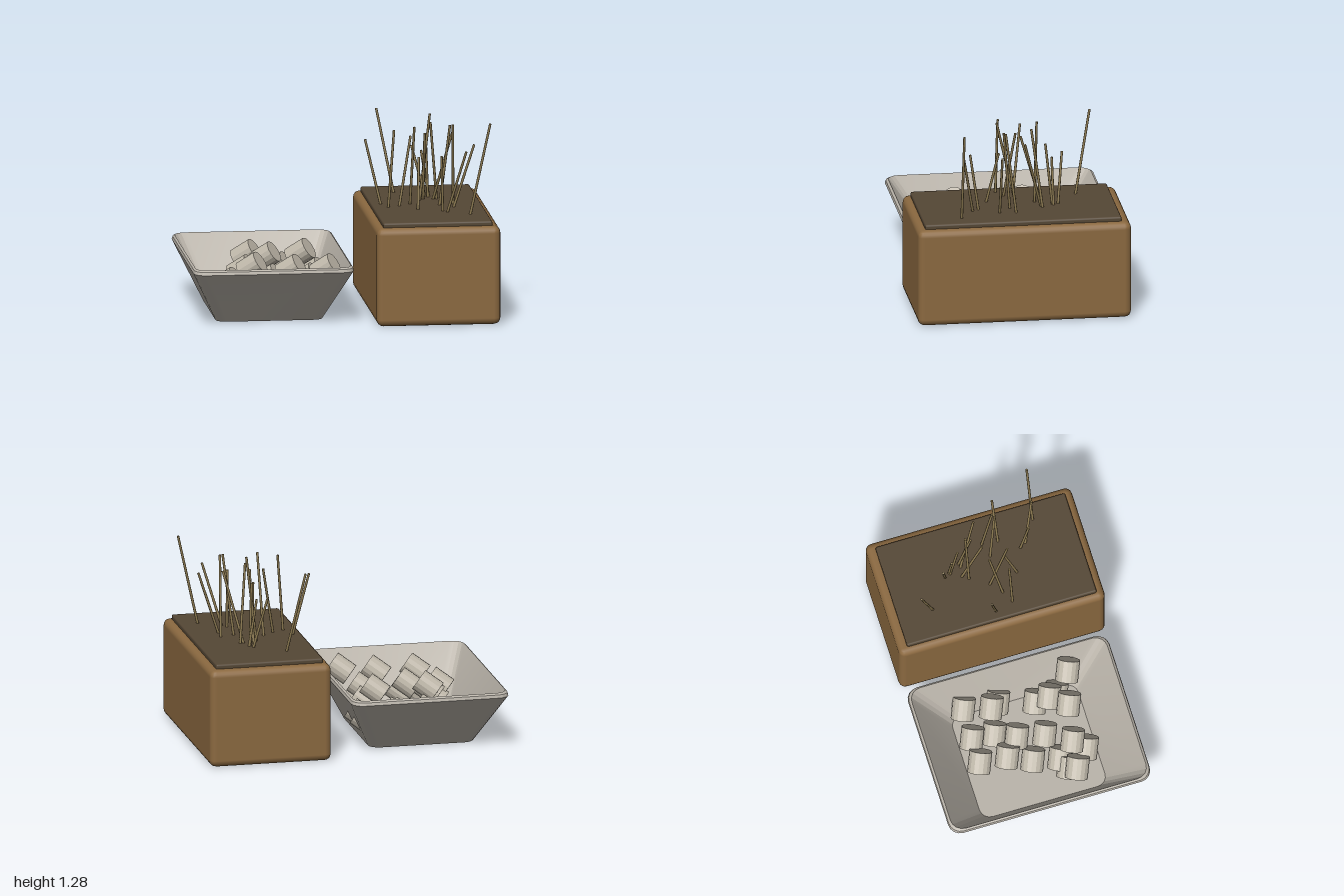
import * as THREE from 'three';
import { RoundedBoxGeometry } from 'three/addons/geometries/RoundedBoxGeometry.js';
import { toCreasedNormals } from 'three/addons/utils/BufferGeometryUtils.js';

const mat = (name, color) => {
  const m = new THREE.MeshStandardMaterial({ color });
  m.name = name;
  return m;
};

// Points round a rectangle with rounded corners, at height y
function ring([hx, hz, r, y], n = 4) {
  const pts = [];
  [[1, 1], [-1, 1], [-1, -1], [1, -1]].forEach(([sx, sz], k) => {
    for (let i = 0; i <= n; i++) {
      const t = (k + i / n) * Math.PI / 2;
      pts.push([sx * (hx - r) + r * Math.cos(t), y, sz * (hz - r) + r * Math.sin(t)]);
    }
  });
  return pts;
}

// Skin a sequence of rounded rectangles
function loft(sections) {
  const rings = sections.map((s) => ring(s));
  const pos = [];
  for (let j = 0; j < rings.length - 1; j++) {
    const lo = rings[j], hi = rings[j + 1];
    for (let i = 0; i < lo.length; i++) {
      const k = (i + 1) % lo.length;
      if (sections[j][0] > 0) pos.push(...lo[i], ...hi[i], ...lo[k]);
      if (sections[j + 1][0] > 0) pos.push(...lo[k], ...hi[i], ...hi[k]);
    }
  }
  const g = new THREE.BufferGeometry();
  g.setAttribute('position', new THREE.Float32BufferAttribute(pos, 3));
  return toCreasedNormals(g, 0.3);
}

export function createModel() {
  const model = new THREE.Group();
  const wood = mat('brown wood', 0x8b6940);
  const soil = mat('dark soil', 0x554735);
  const stalk = mat('dry stalk', 0x8a7850);
  const dishGrey = mat('dish grey', 0xbab4aa);
  const pieceGrey = mat('piece grey', 0xbfb8aa);

  const add = (parent, name, geometry, material, x = 0, y = 0, z = 0) => {
    const mesh = new THREE.Mesh(geometry, material);
    mesh.name = name;
    mesh.position.set(x, y, z);
    parent.add(mesh);
    return mesh;
  };

  // Planter box with a slab of soil
  const planter = new THREE.Group();
  planter.name = 'planter';
  model.add(planter);
  add(planter, 'planterBox', new RoundedBoxGeometry(0.81, 0.65, 1.4, 2, 0.045), wood, 0.595, 0.325, 0.005);
  add(planter, 'soil', new RoundedBoxGeometry(0.715, 0.04, 1.29, 2, 0.013), soil, 0.5925, 0.66, 0.01);

  // Stalks: base x, base z, tip x, tip y, tip z
  const stalks = [
    [0.30, -0.01, 0.20, 1.10, -0.07], [0.43, -0.40, 0.325, 1.22, -0.51],
    [0.33, 0.11, 0.37, 1.19, 0.10], [0.405, 0.07, 0.49, 1.13, 0],
    [0.485, 0, 0.50, 1.21, 0.125], [0.515, 0.20, 0.53, 1.01, 0.115],
    [0.62, -0.26, 0.53, 1.01, -0.30], [0.64, -0.23, 0.585, 0.99, -0.225],
    [0.56, -0.115, 0.63, 1.25, -0.12], [0.63, -0.225, 0.61, 1.09, -0.18],
    [0.59, -0.16, 0.585, 1.14, -0.02], [0.65, -0.15, 0.765, 1.14, -0.025],
    [0.68, -0.155, 0.63, 1.20, -0.085], [0.67, 0.06, 0.735, 1.215, 0.11],
    [0.765, 0.03, 0.755, 1.215, 0.10], [0.75, 0.14, 0.89, 1.09, 0.14],
    [0.67, 0.265, 0.655, 1.05, 0.32], [0.69, 0.305, 0.81, 1.09, 0.385],
    [0.83, 0.40, 0.965, 1.275, 0.40],
  ];
  const up = new THREE.Vector3(0, 1, 0);
  for (const [bx, bz, tx, ty, tz] of stalks) {
    const base = new THREE.Vector3(bx, 0.66, bz);
    const dir = new THREE.Vector3(tx, ty, tz).sub(base);
    const mid = base.clone().addScaledVector(dir, 0.5);
    const m = add(planter, 'stalk', new THREE.CylinderGeometry(0.008, 0.009, dir.length(), 8),
      stalk, mid.x, mid.y, mid.z);
    m.quaternion.setFromUnitVectors(up, dir.normalize());
  }

  // Dish: underside, outer wall, bevelled rim, inner wall, floor
  add(model, 'dish', loft([
    [0, 0, 0, 0], [0.35, 0.41, 0.07, 0], [0.525, 0.685, 0.08, 0.36], [0.52, 0.68, 0.08, 0.38],
    [0.508, 0.665, 0.08, 0.39], [0.365, 0.427, 0.07, 0.05], [0, 0, 0, 0.05],
  ]), dishGrey, -0.475, 0, -0.025);

  // Heap of short cylinders, all leaning the same way: x, y, z
  const pieces = [
    [-0.51, 0.22, -0.37], [-0.335, 0.21, -0.37], [-0.11, 0.17, -0.36], [-0.565, 0.33, -0.20],
    [-0.335, 0.17, -0.22], [-0.21, 0.33, -0.20], [-0.125, 0.15, -0.13], [-0.45, 0.33, -0.10],
    [-0.61, 0.26, -0.04], [-0.45, 0.22, 0.09], [-0.20, 0.17, 0.10], [-0.215, 0.24, 0.19],
    [-0.62, 0.17, 0.14], [-0.735, 0.23, 0.225], [-0.58, 0.33, 0.24], [-0.61, 0.20, 0.325],
    [-0.33, 0.32, 0.29], [-0.18, 0.15, 0.25], [-0.11, 0.33, 0.35], [-0.69, 0.16, 0.18],
  ];
  const heap = new THREE.Group();
  heap.name = 'heap';
  model.add(heap);
  const lean = new THREE.Vector3(0.76, 0.55, 0.34).normalize();
  const pieceGeo = toCreasedNormals(new THREE.CylinderGeometry(0.075, 0.075, 0.145, 16), 0.3);
  for (const [x, y, z] of pieces) {
    add(heap, 'piece', pieceGeo, pieceGrey, x, y, z).quaternion.setFromUnitVectors(up, lean);
  }
  return model;
}
